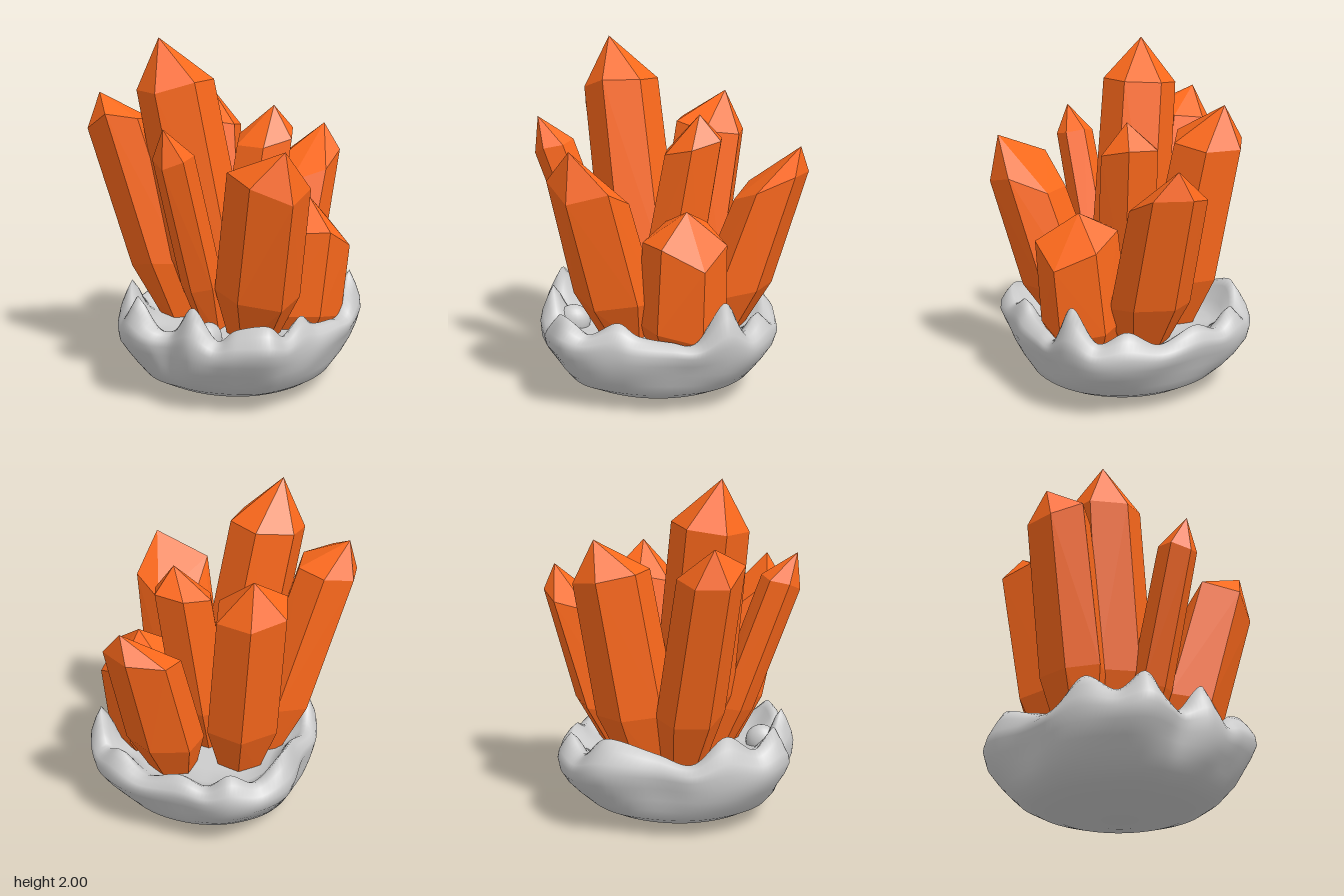
import * as THREE from 'three';
import { ConvexGeometry } from 'three/addons/geometries/ConvexGeometry.js';

const V = (a) => new THREE.Vector3(...a);

// Six-sided leaning crystal: narrow foot, broad knee, uneven shoulder, off-centre point
function crystal({ foot, shoulder, tip, r, turn, rise }) {
  const a = V(foot), b = V(shoulder);
  const points = [V(tip)];
  for (const [t, scale, uneven] of [[0, 0.62, 0], [0.3, 1.07, 0.5], [1, 1, 1]]) {
    for (let i = 0; i < 6; i++) {
      const ang = turn + i * Math.PI / 3;
      const p = a.clone().lerp(b, t);
      p.x += Math.cos(ang) * r * scale;
      p.y += rise[i] * uneven;
      p.z += Math.sin(ang) * r * scale;
      points.push(p);
    }
  }
  return new ConvexGeometry(points);
}

// rise: height of each shoulder corner above or below the shoulder centre
const CRYSTALS = {
  tallCrystal: { foot: [0.01, 0.33, 0.13], shoulder: [-0.2, 1.74, 0.28], tip: [-0.26, 2, 0.35], r: 0.215, turn: 0.5, rise: [0.03, -0.03, -0.03, 0, 0.02, 0.03] },
  leftCrystal: { foot: [-0.25, 0.33, 0.14], shoulder: [-0.55, 1.51, 0.33], tip: [-0.66, 1.68, 0.36], r: 0.18, turn: 0.35, rise: [0.04, 0.07, -0.03, -0.03, 0, 0.02] },
  centreCrystal: { foot: [0.07, 0.33, 0.05], shoulder: [0.15, 1.42, -0.13], tip: [0.19, 1.6, -0.16], r: 0.18, turn: 0.1, rise: [0, -0.04, -0.04, 0, 0.03, 0.04] },
  backLeftCrystal: { foot: [-0.18, 0.33, -0.08], shoulder: [-0.31, 1.46, -0.25], tip: [-0.35, 1.67, -0.34], r: 0.215, turn: 0.2, rise: [0, 0.04, 0.04, 0, -0.03, -0.03] },
  backCrystal: { foot: [0.16, 0.33, -0.27], shoulder: [0.2, 1.22, -0.565], tip: [0.25, 1.43, -0.72], r: 0.21, turn: 0.5, rise: [-0.03, -0.1, -0.03, 0.02, 0.06, 0.06] },
  frontCrystal: { foot: [0.04, 0.33, 0.28], shoulder: [0.025, 1.4, 0.66], tip: [0.02, 1.57, 0.75], r: 0.11, turn: 0.52, rise: [0, -0.04, 0, 0.02, 0.04, 0.02] },
  frontRightCrystal: { foot: [0.28, 0.33, 0.25], shoulder: [0.48, 1.26, 0.45], tip: [0.62, 1.47, 0.54], r: 0.22, turn: 0.5, rise: [-0.06, 0.03, 0.08, -0.1, -0.1, -0.01] },
  rightCrystal: { foot: [0.39, 0.25, -0.05], shoulder: [0.47, 0.93, -0.07], tip: [0.46, 1.11, -0.08], r: 0.23, turn: 0.6, rise: [0.02, 0.01, 0.08, 0.08, 0, -0.1] },
};

// Outline of the rock bowl seen from above, with the height of its rim: [x, rim height, z]
const RIM = [
  [0.7, 0.42, 0], [0.69, 0.45, 0.2], [0.67, 0.52, 0.33], [0.64, 0.45, 0.5], [0.59, 0.53, 0.62],
  [0.42, 0.5, 0.69], [0.3, 0.43, 0.72], [0.16, 0.6, 0.76], [0, 0.44, 0.71], [-0.12, 0.46, 0.74],
  [-0.25, 0.6, 0.72], [-0.38, 0.5, 0.62], [-0.5, 0.6, 0.45], [-0.56, 0.45, 0.25], [-0.54, 0.5, 0.02],
  [-0.57, 0.58, -0.28], [-0.47, 0.45, -0.46], [-0.33, 0.53, -0.58], [-0.18, 0.44, -0.61], [0, 0.49, -0.61],
  [0.25, 0.42, -0.6], [0.45, 0.51, -0.55], [0.61, 0.45, -0.45], [0.7, 0.64, -0.32], [0.71, 0.42, -0.15],
];

// Section from the underside, over lip and rim, to the inner floor: [scale, height, share of rim height]
const SECTION = [
  [0, 0, 0], [0.3, 0.008, 0], [0.58, 0.035, 0], [0.75, 0.07, 0], [0.86, 0.115, 0], [0.92, 0.18, 0],
  [0.955, 0.25, 0], [0.985, 0.31, 0.1], [1, 0.36, 0.25], [0.985, 0.39, 0.4], [0.94, 0.405, 0.7],
  [0.89, 0.41, 1], [0.84, 0.4, 0.8], [0.78, 0.385, 0.35], [0.68, 0.37, 0.05], [0.5, 0.37, 0], [0, 0.38, 0],
];

function rockGeometry() {
  const rim = new THREE.CatmullRomCurve3(RIM.map(V), true, 'catmullrom', 0.5);
  const N = 180, cx = 0.07, cz = 0.07;
  const pos = [], index = [];
  SECTION.forEach(([scale, height, share], row) => {
    for (let j = 0; j < N; j++) {
      const p = rim.getPoint(j / N), ang = j / N * Math.PI * 2;
      const peak = p.y - 0.4;
      const dx = p.x - cx, dz = p.z - cz, radius = Math.hypot(dx, dz);
      // round underside turning into the uneven rim, with folds in the wall
      const round = THREE.MathUtils.clamp(1.2 - height / 0.28, 0, 1);
      const fold = 0.015 * Math.sin(ang * 5 + height * 22) * Math.min(1, height * 3);
      const s = scale * (THREE.MathUtils.lerp(1, 0.63 / radius, round) + fold);
      pos.push(cx + dx * s, height + peak * share, cz + dz * s);
      if (row === SECTION.length - 1) continue;
      const a = row * N + j, b = row * N + (j + 1) % N;
      index.push(a, a + N, b, b, a + N, b + N);
    }
  });
  const g = new THREE.BufferGeometry();
  g.setAttribute('position', new THREE.Float32BufferAttribute(pos, 3));
  g.setIndex(index);
  g.computeVertexNormals();
  return g;
}

export function createModel() {
  const model = new THREE.Group();
  model.name = 'crystalCluster';
  const add = (name, geometry, material) => {
    const mesh = new THREE.Mesh(geometry, material);
    mesh.name = name;
    model.add(mesh);
    return mesh;
  };

  // Rock bowl
  const rock = new THREE.MeshStandardMaterial({ color: 0xcccccc, side: THREE.DoubleSide });
  add('rockBase', rockGeometry(), rock);

  // Small lump on the inner floor
  const lump = add('rockLump', new THREE.SphereGeometry(0.08, 20, 14), rock);
  lump.scale.set(0.9, 1.2, 1.2);
  lump.position.set(0.17, 0.4, 0.56);

  // Crystals
  const orange = new THREE.MeshStandardMaterial({ color: 0xff6a1c, flatShading: true });
  for (const [name, spec] of Object.entries(CRYSTALS)) add(name, crystal(spec), orange);
  return model;
}
